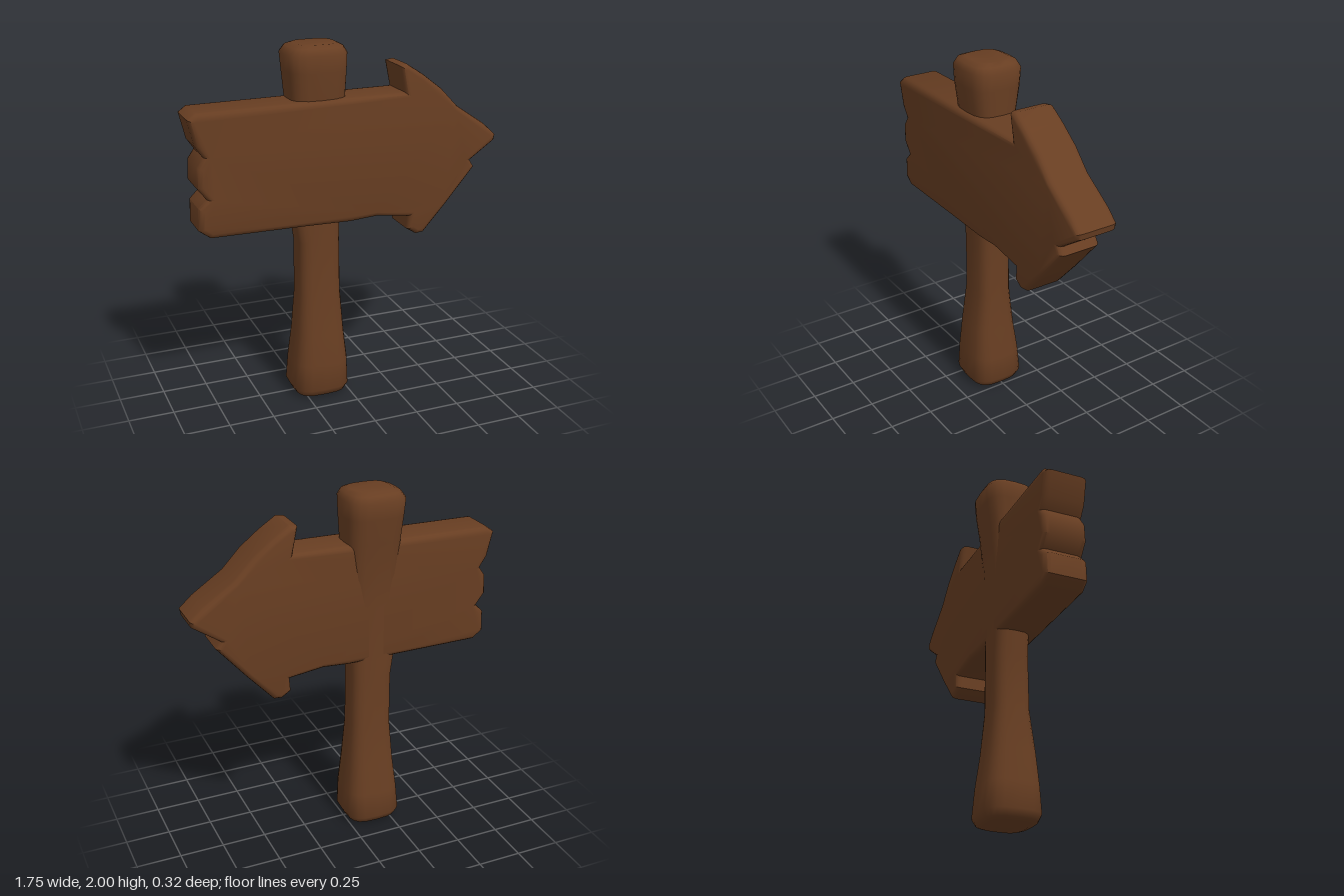
import * as THREE from 'three';
import { toCreasedNormals } from 'three/addons/utils/BufferGeometryUtils.js';

// Lofts rounded-square rings [y, xMin, xMax, zMin, zMax] into a closed, slightly uneven post
function loftPost(rings, sides = 20) {
  const pos = [], idx = [];
  const round = (v) => Math.sign(v) * Math.pow(Math.abs(v), 0.6);
  rings.forEach(([y, x0, x1, z0, z1]) => {
    for (let i = 0; i < sides; i++) {
      const a = (i / sides) * Math.PI * 2;
      pos.push((x0 + x1) / 2 + (round(Math.cos(a)) * (x1 - x0)) / 2, y,
        (z0 + z1) / 2 + (round(Math.sin(a)) * (z1 - z0)) / 2);
    }
  });
  for (let r = 0; r < rings.length - 1; r++) {
    for (let i = 0; i < sides; i++) {
      const a = r * sides + i, b = r * sides + ((i + 1) % sides);
      idx.push(a, a + sides, b, b, a + sides, b + sides);
    }
  }
  // End caps
  const top = (rings.length - 1) * sides;
  for (let i = 1; i < sides - 1; i++) {
    idx.push(0, i, i + 1, top, top + i + 1, top + i);
  }
  const geo = new THREE.BufferGeometry();
  geo.setAttribute('position', new THREE.Float32BufferAttribute(pos, 3));
  geo.setIndex(idx);
  return toCreasedNormals(geo, 0.9);
}

export function createModel() {
  const group = new THREE.Group();
  const wood = new THREE.MeshStandardMaterial({ color: 0x683e22 });
  wood.name = 'brown wood';

  // Post, flared at the foot and the head
  const post = new THREE.Mesh(loftPost([
    [0.0, -0.27, -0.04, -0.11, 0.11],
    [0.012, -0.3, -0.01, -0.14, 0.145],
    [0.05, -0.32, 0.01, -0.16, 0.163],
    [0.2, -0.31, 0.005, -0.145, 0.155],
    [0.38, -0.29, -0.015, -0.12, 0.14],
    [0.62, -0.272, -0.03, -0.095, 0.11],
    [0.92, -0.272, -0.033, -0.093, 0.107],
    [1.04, -0.29, -0.03, -0.092, 0.105],
    [1.35, -0.29, -0.02, -0.092, 0.11],
    [1.5, -0.295, -0.01, -0.1, 0.115],
    [1.72, -0.308, 0.0, -0.125, 0.13],
    [1.86, -0.318, 0.006, -0.148, 0.148],
    [1.95, -0.325, 0.01, -0.155, 0.15],
    [1.985, -0.3, -0.01, -0.135, 0.135],
    [2.0, -0.26, -0.04, -0.1, 0.1],
  ]), wood);
  post.name = 'post';
  group.add(post);

  // Arrow board outline, counter-clockwise from the lower tail corner
  const outline = [
    [-0.84, 1.09], [-0.78, 1.045], [-0.27, 1.04], [0, 1.035], [0.15, 1.045], [0.345, 1.02],
    [0.34, 0.945], [0.395, 0.91], [0.44, 0.915], [0.58, 1.07], [0.745, 1.265], [0.72, 1.305],
    [0.865, 1.405], [0.872, 1.44], [0.8, 1.505], [0.63, 1.62], [0.53, 1.725], [0.42, 1.81],
    [0.325, 1.872], [0.282, 1.865], [0.312, 1.722], [0, 1.72], [-0.83, 1.712], [-0.874, 1.68],
    [-0.84, 1.54], [-0.8, 1.48], [-0.835, 1.43], [-0.84, 1.32], [-0.79, 1.255], [-0.835, 1.21],
  ].map(([x, y]) => new THREE.Vector2(x, y));
  const bevel = 0.035;
  const boardGeo = new THREE.ExtrudeGeometry(new THREE.Shape(outline), {
    depth: 0.245 - 2 * bevel, bevelEnabled: true, bevelThickness: bevel,
    bevelSize: 0.028, bevelOffset: -0.028, bevelSegments: 3,
  });
  boardGeo.translate(0, 0, -0.09 + bevel);

  const board = new THREE.Mesh(toCreasedNormals(boardGeo, 0.75), wood);
  board.name = 'arrowBoard';
  group.add(board);

  return group;
}
